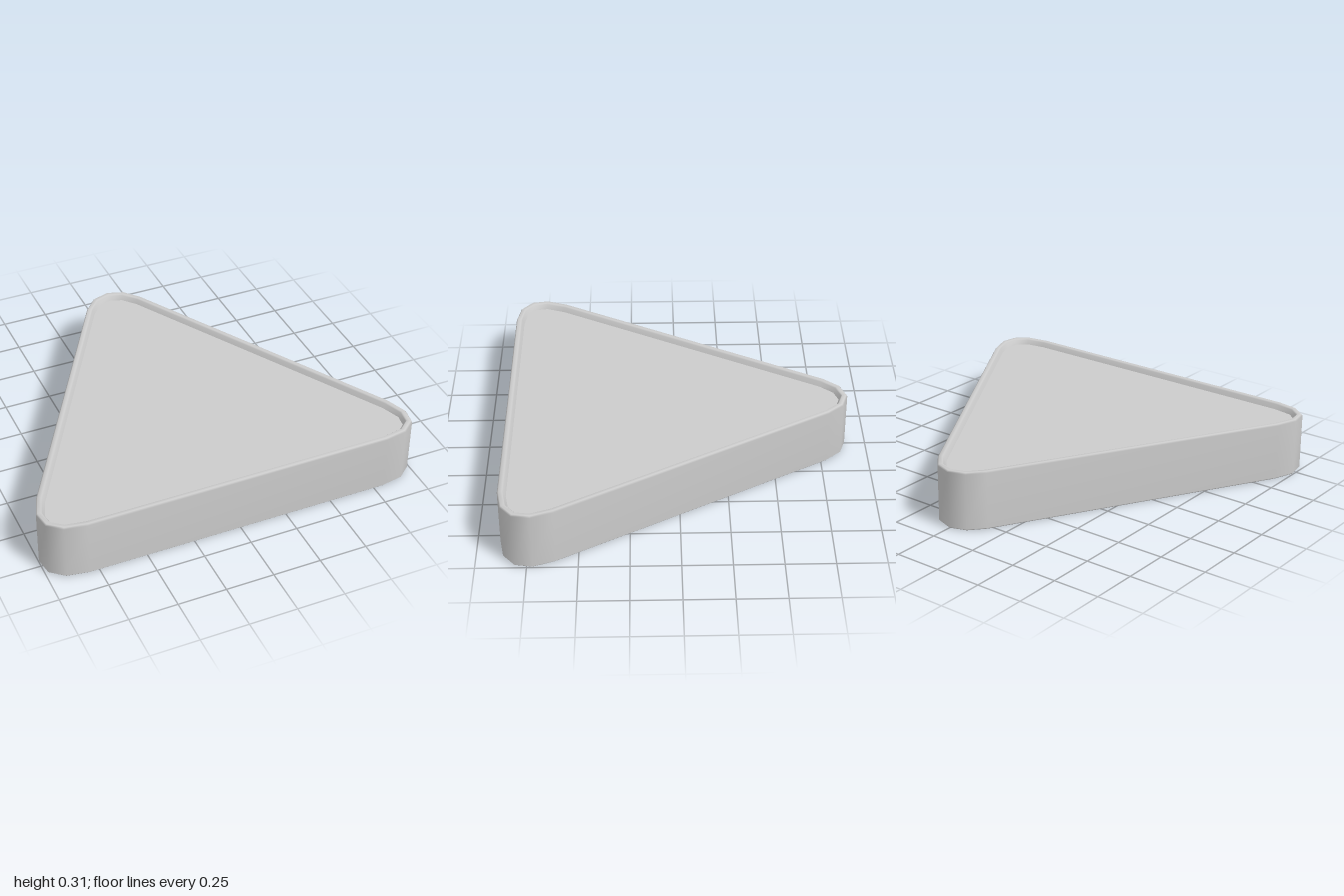
import * as THREE from 'three';

const HEIGHT = 0.31;

// Right half of the rounded-triangle outline (x, z), from back tip to front edge
const half = [
  [0.09, -0.86], [0.16, -0.78], [0.96, 0.61], [1.0, 0.72],
  [0.985, 0.81], [0.915, 0.868], [0.8, 0.888],
];
const outline = [
  [0, -0.89], ...half, ...half.slice().reverse().map(([x, z]) => [-x, z]),
].map(([x, z]) => new THREE.Vector2(x, z));

// Moves the outline inward by a constant wall distance
function inset(points, distance) {
  const n = points.length;
  const normal = (a, b) => new THREE.Vector2(b.y - a.y, a.x - b.x).normalize();
  return points.map((p, i) => {
    const n1 = normal(points[(i + n - 1) % n], p);
    const n2 = normal(p, points[(i + 1) % n]);
    const miter = n1.clone().add(n2).divideScalar(1 + n1.dot(n2));
    return p.clone().addScaledVector(miter, -distance);
  });
}

function makeGeometry(positions, indices) {
  const geometry = new THREE.BufferGeometry();
  geometry.setAttribute('position', new THREE.Float32BufferAttribute(positions, 3));
  geometry.setIndex(indices);
  geometry.computeVertexNormals();
  return geometry;
}

// Skins the [inset, y] section around the outline
function frameGeometry(section) {
  const n = outline.length;
  const positions = [];
  const indices = [];
  section.forEach(([d, y], r) => {
    inset(outline, d).forEach((p) => positions.push(p.x, y, p.y));
    if (r === section.length - 1) return;
    for (let i = 0; i < n; i++) {
      const a = r * n + i;
      const b = r * n + (i + 1) % n;
      indices.push(a, a + n, b, b, a + n, b + n);
    }
  });
  return makeGeometry(positions, indices);
}

// Flat panel filling the frame, facing up or down
function panelGeometry(d, y, up) {
  const n = outline.length;
  const positions = [0, y, 0.3];
  const indices = [];
  inset(outline, d).forEach((p, i) => {
    positions.push(p.x, y, p.y);
    const a = i + 1;
    const b = (i + 1) % n + 1;
    indices.push(0, up ? b : a, up ? a : b);
  });
  return makeGeometry(positions, indices);
}

export function createModel() {
  const group = new THREE.Group();
  const material = new THREE.MeshStandardMaterial({ color: 0xcccccc });
  const add = (name, geometry) => {
    const mesh = new THREE.Mesh(geometry, material);
    mesh.name = name;
    group.add(mesh);
  };

  // Rim section from the side wall over the lip down to the recessed panel
  const lip = [[0, HEIGHT - 0.008], [0.007, HEIGHT], [0.025, HEIGHT], [0.031, HEIGHT - 0.006], [0.042, HEIGHT - 0.03]];
  const underside = lip.map(([d, y]) => [d, HEIGHT - y]).reverse();
  add('frame', frameGeometry([...underside, ...lip]));

  // Recessed top and bottom panels
  const [panelInset, panelY] = lip[lip.length - 1];
  add('topPanel', panelGeometry(panelInset, panelY, true));
  add('bottomPanel', panelGeometry(panelInset, HEIGHT - panelY, false));
  return group;
}
